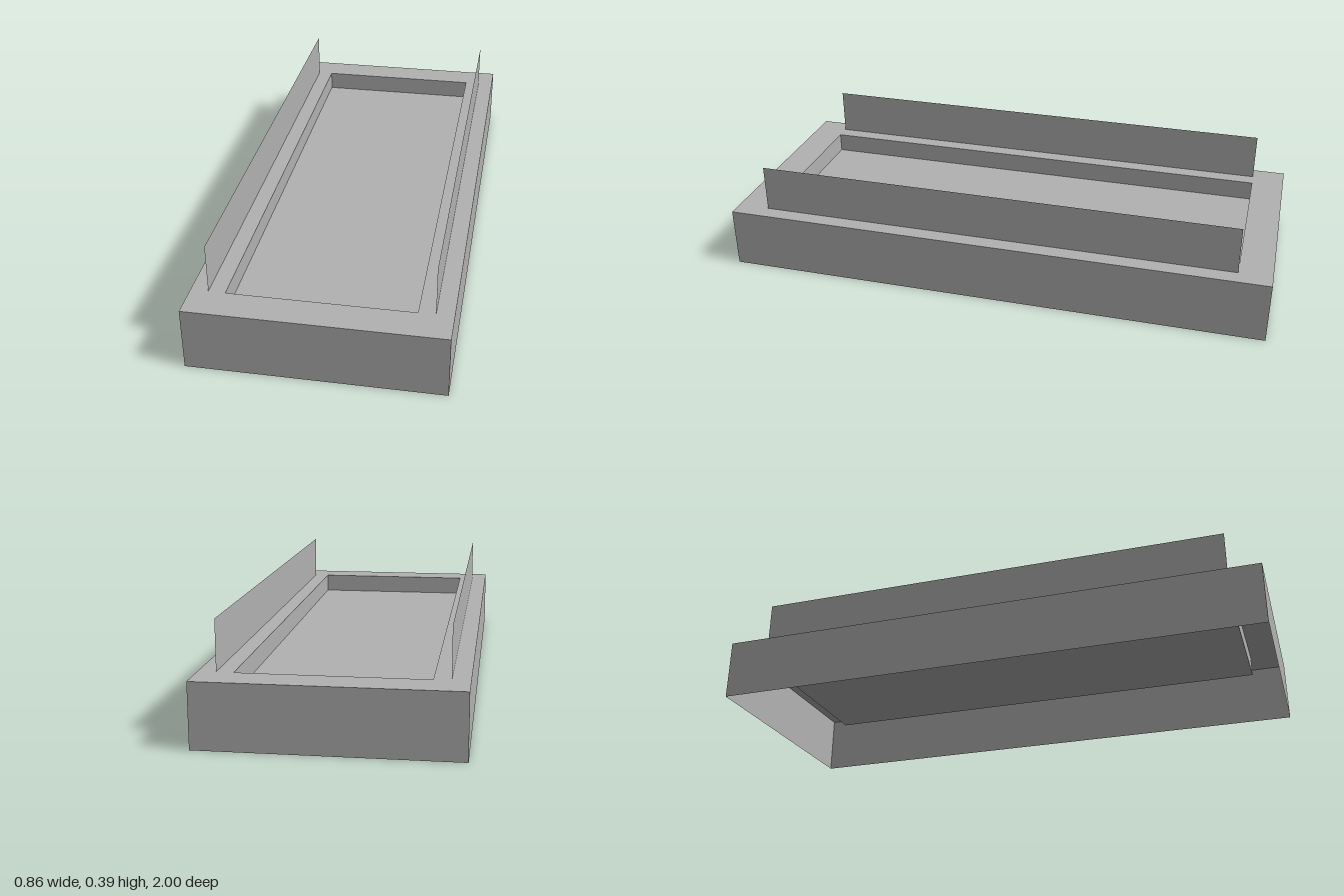
import * as THREE from 'three';

const HALF_X = 0.431, HALF_Z = 1, TOP = 0.221;   // outer frame
const IN_X = 0.314, IN_Z = 0.881, FLOOR = 0.149; // sunken panel
const RAIL_X = 0.371, RAIL_TOP = 0.393;          // upright side sheets

export function createModel() {
  const model = new THREE.Group();
  model.name = 'tray';
  const grey = new THREE.MeshStandardMaterial({ color: 0xb2b2b2, side: THREE.DoubleSide });
  grey.name = 'grey';

  const add = (parent, name, geometry) => {
    const mesh = new THREE.Mesh(geometry, grey);
    mesh.name = name;
    parent.add(mesh);
    return mesh;
  };

  // Upright sheet facing +x or -x
  const sideSheet = (parent, name, x, halfZ, y0, y1, facing) => {
    const sheet = add(parent, name, new THREE.PlaneGeometry(2 * halfZ, y1 - y0));
    sheet.rotation.y = facing * Math.PI / 2;
    sheet.position.set(x, (y0 + y1) / 2, 0);
  };

  // Four walls without top or bottom; facing 1 is outward, -1 inward
  const wallRing = (name, halfX, halfZ, y0, y1, facing) => {
    const ring = new THREE.Group();
    ring.name = name;
    for (const s of [1, -1]) {
      sideSheet(ring, 'sideWall', s * halfX, halfZ, y0, y1, s * facing);
      const end = add(ring, 'endWall', new THREE.PlaneGeometry(2 * halfX, y1 - y0));
      end.rotation.y = s * facing > 0 ? 0 : Math.PI;
      end.position.set(0, (y0 + y1) / 2, s * halfZ);
    }
    model.add(ring);
  };

  const rectangle = (path, x, z) =>
    path.moveTo(-x, -z).lineTo(x, -z).lineTo(x, z).lineTo(-x, z).closePath();

  // Outer skirt, open underneath
  wallRing('outerWalls', HALF_X, HALF_Z, 0, TOP, 1);

  // Flat rim around the opening
  const rimShape = rectangle(new THREE.Shape(), HALF_X, HALF_Z);
  rimShape.holes.push(rectangle(new THREE.Path(), IN_X, IN_Z));
  add(model, 'rim', new THREE.ShapeGeometry(rimShape).rotateX(-Math.PI / 2)).position.y = TOP;

  // Recess walls and floor
  wallRing('recessWalls', IN_X, IN_Z, FLOOR, TOP, -1);
  add(model, 'recessFloor', new THREE.PlaneGeometry(2 * IN_X, 2 * IN_Z).rotateX(-Math.PI / 2)).position.y = FLOOR;

  // Thin sheets standing on both long sides of the rim
  sideSheet(model, 'leftRail', RAIL_X, IN_Z, TOP, RAIL_TOP, 1);
  sideSheet(model, 'rightRail', -RAIL_X, IN_Z, TOP, RAIL_TOP, -1);

  return model;
}
